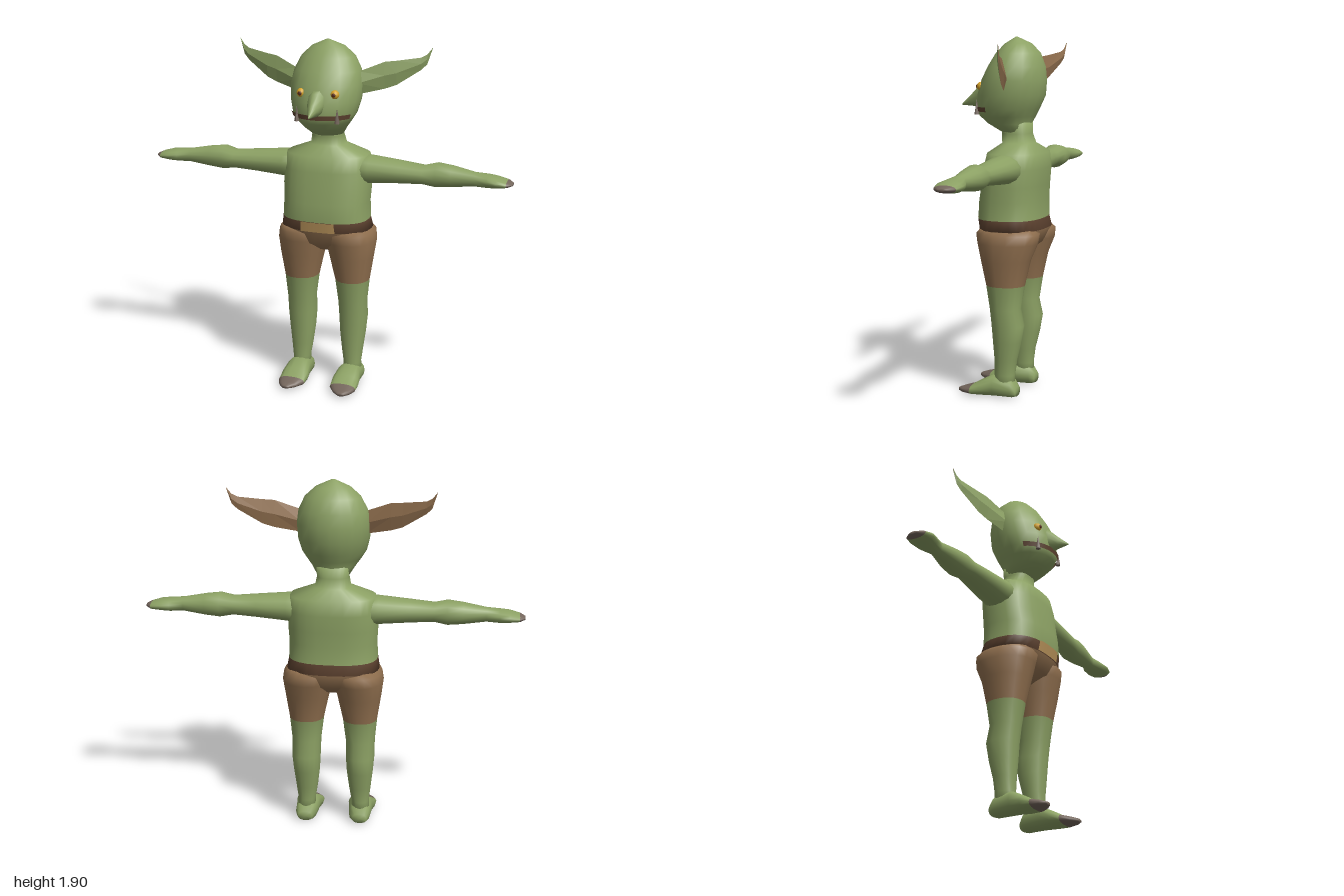
import * as THREE from 'three';

const paint = (name, color) => {
  const m = new THREE.MeshStandardMaterial({ color });
  m.name = name;
  return m;
};

// Point on a rounded ring [t, u0, u1, v0, v1]; (u, v) follow the axis cyclically: x->(y,z), y->(z,x), z->(x,y)
function ringPoint(axis, [t, u0, u1, v0, v1], angle, power, grow = 0) {
  const bend = (n) => Math.sign(n) * Math.abs(n) ** (2 / power);
  const u = (u0 + u1) / 2 + bend(Math.cos(angle)) * ((u1 - u0) / 2 + grow);
  const v = (v0 + v1) / 2 + bend(Math.sin(angle)) * ((v1 - v0) / 2 + grow);
  return axis === 'x' ? [t, u, v] : axis === 'y' ? [v, t, u] : [u, v, t];
}

// Closed skin over rings ordered along the axis; matAt(band, side) picks a material index
function loft(axis, rings, { sides = 20, power = 2, matAt = () => 0 } = {}) {
  const pos = [], faces = [];
  const add = (m, ...ids) => (faces[m] ??= []).push(...ids);
  rings.forEach((r) => {
    for (let i = 0; i < sides; i++) pos.push(...ringPoint(axis, r, (i / sides) * Math.PI * 2, power));
  });
  const last = rings.length - 1, c0 = pos.length / 3;
  for (const [t, u0, u1, v0, v1] of [rings[0], rings[last]]) {
    const u = (u0 + u1) / 2, v = (v0 + v1) / 2;
    pos.push(...(axis === 'x' ? [t, u, v] : axis === 'y' ? [v, t, u] : [u, v, t]));
  }
  for (let i = 0; i < sides; i++) {
    const k = (i + 1) % sides;
    for (let j = 0; j < last; j++) {
      const a = j * sides + i, b = j * sides + k;
      add(matAt(j, i), a, b, b + sides, a, b + sides, a + sides);
    }
    add(matAt(0, i), c0, k, i);
    add(matAt(last - 1, i), c0 + 1, last * sides + i, last * sides + k);
  }
  const geo = new THREE.BufferGeometry();
  geo.setAttribute('position', new THREE.Float32BufferAttribute(pos, 3));
  const index = [];
  faces.forEach((f, m) => {
    geo.addGroup(index.length, f.length, m);
    index.push(...f);
  });
  geo.setIndex(index);
  geo.computeVertexNormals();
  return geo;
}

// Thin curved plate lying on the front of a body between two rings
function frontPlate(low, high, halfAngle, power, grow) {
  const geo = new THREE.PlaneGeometry(2, 1, 16, 1);
  const p = geo.attributes.position;
  for (let i = 0; i < p.count; i++) {
    p.setXYZ(i, ...ringPoint('y', p.getY(i) > 0 ? high : low, p.getX(i) * halfAngle, power, grow));
  }
  geo.computeVertexNormals();
  return geo;
}

function mirrored(geo) {
  const g = geo.clone().scale(-1, 1, 1);
  if (!g.index) g.setIndex([...Array(g.attributes.position.count).keys()]);
  const a = g.index.array;
  for (let i = 0; i < a.length; i += 3) [a[i], a[i + 1]] = [a[i + 1], a[i]];
  g.computeVertexNormals();
  return g;
}

export function createModel() {
  const group = new THREE.Group();
  const skin = paint('green skin', 0x8ca164);
  const cloth = paint('brown shorts', 0x91704f);
  const leather = paint('dark leather', 0x614532);
  const brass = paint('tan buckle', 0xbb955c);
  const claw = paint('grey claw', 0x74665c);
  const yellow = paint('yellow eye', 0xd6a32a);
  const pupil = paint('dark pupil', 0x5a2c1a);
  leather.side = brass.side = THREE.DoubleSide;

  const add = (name, geo, mat) => {
    const mesh = new THREE.Mesh(geo, mat);
    mesh.name = name;
    group.add(mesh);
    return mesh;
  };
  const pair = (name, geo, mat) => {
    add(name + 'Left', geo, mat);
    add(name + 'Right', mirrored(geo), mat);
  };
  // Symmetric ring: height, back, front, half width
  const sym = ([y, z0, z1, w]) => [y, z0, z1, -w, w];

  // Torso with seat, belt band and neck
  const torso = [
    [0.77, -0.13, 0, 0.06], [0.82, -0.2, 0.075, 0.15], [0.9, -0.235, 0.11, 0.247],
    [0.955, -0.222, 0.12, 0.237], [1.05, -0.222, 0.115, 0.233], [1.13, -0.225, 0.1, 0.238],
    [1.22, -0.233, 0.09, 0.235], [1.3, -0.225, 0.07, 0.225], [1.35, -0.165, 0.005, 0.095],
    [1.4, -0.147, 0.008, 0.084], [1.46, -0.147, 0.01, 0.09],
  ].map(sym);
  add('torso', loft('y', torso, { sides: 28, power: 2.5, matAt: (j) => (j < 2 ? 1 : j < 3 ? 2 : 0) }),
    [skin, cloth, leather]);
  add('buckle', frontPlate(torso[2], torso[3], 0.3, 2.5, 0.006), brass);

  // Head
  const head = [
    [1.4, -0.14, 0, 0.08], [1.45, -0.145, 0.09, 0.115], [1.49, -0.165, 0.135, 0.145],
    [1.53, -0.185, 0.148, 0.17], [1.6, -0.217, 0.145, 0.188], [1.68, -0.222, 0.12, 0.193],
    [1.75, -0.215, 0.085, 0.18], [1.82, -0.19, 0.042, 0.145], [1.87, -0.145, -0.005, 0.09],
    [1.905, -0.07, -0.06, 0.01],
  ].map(sym);
  add('head', loft('y', head), skin);
  add('nose', loft('z', [
    [0.08, -0.07, 0.07, 1.53, 1.7], [0.14, -0.045, 0.045, 1.532, 1.655],
    [0.19, -0.025, 0.025, 1.538, 1.602], [0.245, -0.003, 0.003, 1.542, 1.55],
  ], { sides: 10 }), skin);
  add('mouth', frontPlate(sym([1.515, -0.178, 0.145, 0.165]), sym([1.54, -0.188, 0.149, 0.174]), 1.15, 2, 0.005), leather);

  pair('tusk', new THREE.ConeGeometry(0.014, 0.08, 6).translate(0.11, 1.54, 0.118), claw);
  pair('eye', new THREE.SphereGeometry(0.024, 12, 8).translate(0.092, 1.647, 0.1), yellow);
  pair('pupil', new THREE.SphereGeometry(0.011, 8, 6).scale(1, 1, 0.5).translate(0.092, 1.647, 0.123), pupil);

  // Ears: folded leaf, green in front and brown behind
  const ear = loft('x', [
    [0.17, 1.625, 1.745, -0.075, -0.04], [0.3, 1.655, 1.797, -0.11, -0.083],
    [0.36, 1.676, 1.803, -0.125, -0.1], [0.48, 1.755, 1.82, -0.156, -0.14],
    [0.51, 1.785, 1.837, -0.163, -0.152], [0.535, 1.866, 1.87, -0.167, -0.163],
  ], { sides: 4, matAt: (j, i) => (i < 2 ? 0 : 1) }).toNonIndexed();
  ear.computeVertexNormals();
  pair('ear', ear, [skin, cloth]);

  // Arms with mitten hands and clawed tips
  pair('arm', loft('x', [
    [0.12, 1.13, 1.31, -0.17, 0.03], [0.24, 1.15, 1.3, -0.165, 0.02], [0.4, 1.163, 1.285, -0.15, 0.01],
    [0.53, 1.17, 1.272, -0.132, 0], [0.6, 1.157, 1.29, -0.143, -0.003], [0.68, 1.165, 1.28, -0.138, -0.01],
    [0.8, 1.18, 1.257, -0.108, -0.03], [0.87, 1.18, 1.25, -0.135, -0.01], [0.92, 1.183, 1.243, -0.14, 0],
    [0.972, 1.19, 1.228, -0.13, -0.012], [1, 1.2, 1.215, -0.095, -0.045],
  ], { sides: 14, matAt: (j) => (j > 8 ? 1 : 0) }), [skin, claw]);

  // Legs, upper part in shorts
  pair('leg', loft('y', [
    [0.05, -0.11, 0, 0.1, 0.2], [0.12, -0.11, 0, 0.1, 0.195], [0.2, -0.12, 0, 0.087, 0.205],
    [0.3, -0.145, 0.008, 0.075, 0.217], [0.39, -0.16, 0.015, 0.07, 0.225], [0.48, -0.14, 0.025, 0.068, 0.225],
    [0.605, -0.16, 0.045, 0.052, 0.237], [0.74, -0.19, 0.075, 0.022, 0.258], [0.83, -0.228, 0.095, 0, 0.27],
    [0.88, -0.235, 0.105, -0.005, 0.262], [0.905, -0.21, 0.085, 0.015, 0.24],
  ], { sides: 18, power: 2.2, matAt: (j) => (j > 5 ? 1 : 0) }), [skin, cloth]);

  // Feet with grey toe claws
  pair('foot', loft('z', [
    [-0.127, 0.11, 0.19, 0.008, 0.06], [-0.1, 0.09, 0.205, 0, 0.1], [0, 0.08, 0.212, 0, 0.118],
    [0.07, 0.07, 0.223, 0, 0.083], [0.125, 0.075, 0.222, 0.002, 0.052], [0.17, 0.105, 0.205, 0.006, 0.04],
    [0.2, 0.14, 0.18, 0.012, 0.03],
  ], { sides: 14, power: 2.4, matAt: (j) => (j > 3 ? 1 : 0) }), [skin, claw]);

  return group;
}
